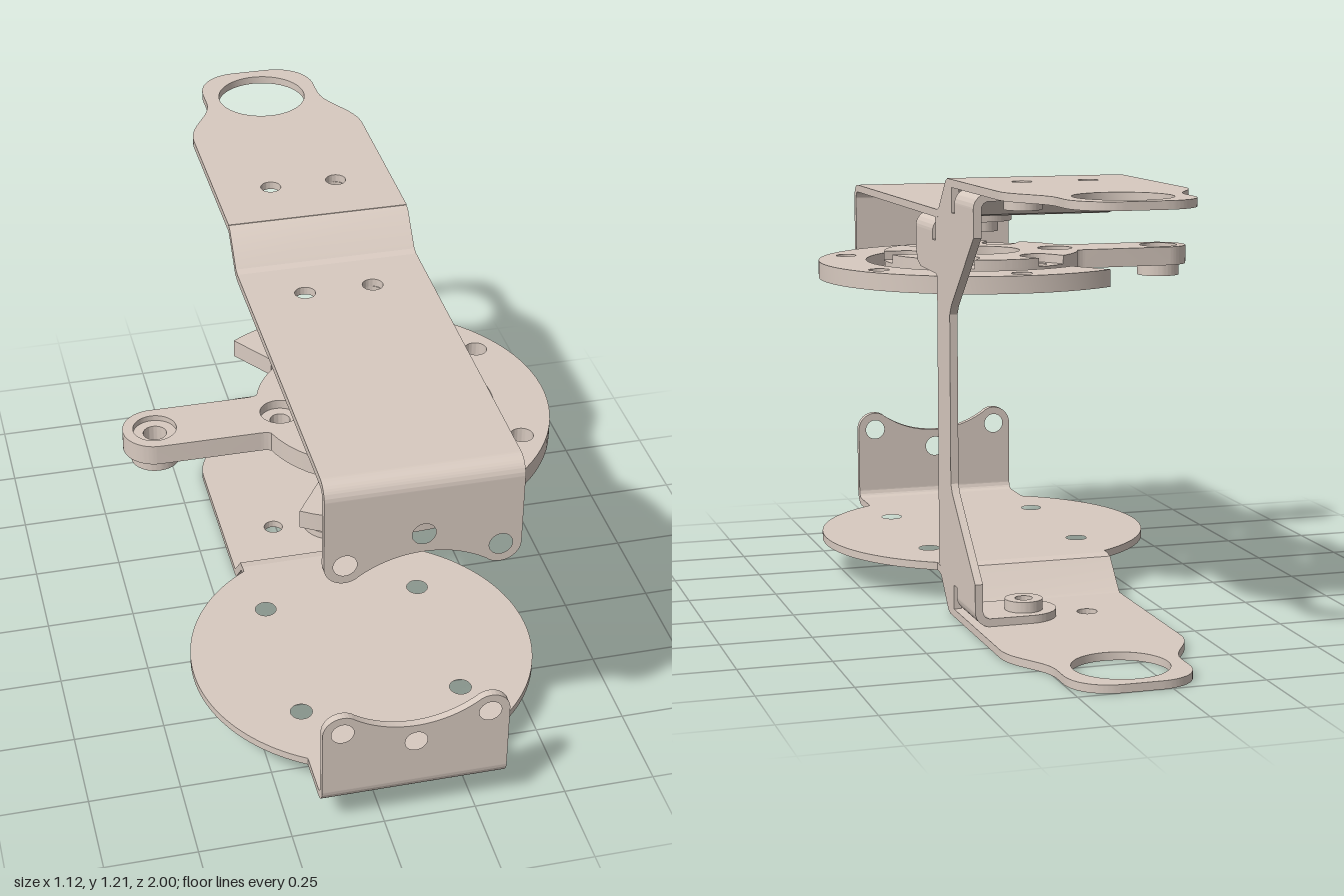
import * as THREE from 'three';
import { toCreasedNormals } from 'three/addons/utils/BufferGeometryUtils.js';

const T = 0.022;           // sheet thickness
const CX = 0.08, CZ = 0.43; // bracket centre line and turntable centre
const MID = 0.605;         // half height of the bracket
const PI = Math.PI;
const material = new THREE.MeshStandardMaterial({ color: 0xd8cac0 });

function poly(points) {
  return new THREE.Shape(points.map(([a, b]) => new THREE.Vector2(a, b)));
}
function disc(x, y, r) {
  return new THREE.Shape().absarc(x, y, r, 0, PI * 2, false);
}
function drill(shape, holes) {
  for (const [x, y, r] of holes) shape.holes.push(new THREE.Path().absarc(x, y, r, 0, PI * 2, true));
  return shape;
}
function extrude(shape, depth) {
  return new THREE.ExtrudeGeometry(shape, { depth, bevelEnabled: false, curveSegments: 32 });
}
function add(group, name, geometry) {
  const mesh = new THREE.Mesh(toCreasedNormals(geometry, 0.5), material);
  mesh.name = name;
  group.add(mesh);
  return mesh;
}
// horizontal plate: shape drawn in (x, z), filling y0..y1
function plate(group, name, shape, y0, y1) {
  return add(group, name, extrude(shape, y1 - y0).rotateX(PI / 2).translate(0, y1, 0));
}
// upright profile: shape drawn in (z, y), filling x0..x1
function profile(group, name, shape, x0, x1) {
  return add(group, name, extrude(shape, x1 - x0).rotateY(-PI / 2).translate(x1, 0, 0));
}
// quarter bend of sheet metal around (a, b)
function bend(a, b, r, start, end) {
  const s = new THREE.Shape();
  s.absarc(a, b, r, start, end, false);
  s.absarc(a, b, r - T, end, start, true);
  return s;
}

// Strap: front plate, step, rear plate with eye and scalloped front flange.
// Drawn as the upper strap, with y measured from the bracket's mid height.
function makeStrap(name, frontShape) {
  const g = new THREE.Group();
  g.name = name;
  const yF = 1.117 - MID, yR = MID;
  plate(g, 'frontPlate', frontShape, yF - T, yF);

  profile(g, 'stepBend', poly([
    [0, yF], [-0.02, yF + 0.005], [-0.095, yR - 0.007], [-0.115, yR],
    [-0.115, yR - T], [-0.106, yR - T - 0.006], [-0.03, yF - T + 0.006], [0, yF - T]]), -0.25, 0.25);

  const rear = new THREE.Shape();
  rear.moveTo(-0.25, -0.11);
  rear.lineTo(-0.25, -0.6);
  rear.bezierCurveTo(-0.25, -0.7, -0.168, -0.74, -0.168, -0.83);
  rear.lineTo(-0.168, -0.88);
  rear.bezierCurveTo(-0.168, -0.95, -0.12, -1, -0.05, -1);
  rear.lineTo(0.05, -1);
  rear.bezierCurveTo(0.12, -1, 0.168, -0.95, 0.168, -0.88);
  rear.lineTo(0.168, -0.83);
  rear.bezierCurveTo(0.168, -0.74, 0.25, -0.7, 0.25, -0.6);
  rear.lineTo(0.25, -0.11);
  drill(rear, [[0, -0.835, 0.127], [-0.093, -0.29, 0.028], [0.093, -0.29, 0.028]]);
  plate(g, 'rearPlate', rear, yR - T, yR);

  // flange with two ears joined by a tangent concave arc
  const R = 0.045, ear = 0.878 - MID, a = 0.955;
  profile(g, 'frontBend', bend(a, yF - R, R, 0, PI / 2), -0.25, 0.25);
  const f = new THREE.Shape();
  f.moveTo(-0.25, yF - R);
  f.lineTo(0.25, yF - R);
  f.absarc(0.197, ear, 0.053, 0, -PI + a, true);
  f.absarc(0, ear - 0.28, 0.29, a, PI - a, false);
  f.absarc(-0.197, ear, 0.053, -a, -PI, true);
  drill(f, [[-0.197, ear, 0.03], [0.197, ear, 0.03], [0, ear + 0.064, 0.03]]);
  add(g, 'frontFlange', extrude(f, T).translate(0, 0, 1 - T));
  g.position.set(CX, MID, 0);
  return g;
}

// Side wall with folded tabs and press nuts
function makeWall() {
  const g = new THREE.Group();
  g.name = 'sideWall';
  const x1 = 0.33, H = MID * 2, R = 0.043;
  const rearHalf = [[-0.13, 0.84], [-0.145, 0.865], [-0.37, 1.07], [-0.37, H - T - R], [-0.185, H - T - R],
    [-0.185, 1.12], [-0.155, 1.12], [-0.155, H - T], [-0.105, H - T], [-0.012, 1.096]];
  const frontTop = [[0.015, 1.095], [0.015, 1.03], [0.045, 1.03], [0.045, 1.052], [0.23, 1.052],
    [0.23, 0.99], [0.215, 0.957], [0.18, 0.942], [0.01, 0.938], [0, 0.93]];
  const lower = rearHalf.map(([z, y]) => [z, H - y]).reverse();
  profile(g, 'wall', poly([...rearHalf, ...frontTop, [0, 0.114], ...lower]), x1 - T, x1);

  const tabs = [[-0.37, -0.185, H - T, 1, -0.29], [-0.37, -0.185, T, -1, -0.29], [0.045, 0.23, 1.095, 1, 0.13]];
  for (const [z0, z1, y, s, nutZ] of tabs) {
    // s = 1: tab under a plate, s = -1: tab on top of a plate
    const elbow = s > 0 ? bend(x1 - R, y - R, R, 0, PI / 2) : bend(x1 - R, y + R, R, -PI / 2, 0);
    add(g, 'tabBend', extrude(elbow, z1 - z0).translate(0, 0, z0));
    const tab = new THREE.Shape();
    tab.moveTo(x1 - R, z0);
    tab.lineTo(x1 - R, z1);
    tab.absarc(0.17, (z0 + z1) / 2, (z1 - z0) / 2, PI / 2, PI * 1.5, false);
    drill(tab, [[0.17, nutZ, 0.028]]);
    plate(g, 'tab', tab, Math.min(y, y - s * T), Math.max(y, y - s * T));
    const nut = y - s * T;
    plate(g, 'pressNut', drill(disc(0.17, nutZ, 0.052), [[0.17, nutZ, 0.024]]),
      Math.min(nut, nut - s * 0.03), Math.max(nut, nut - s * 0.03));
  }
  return g;
}

// Open ring with a notched hub and a side arm inside it
function makeTurntable() {
  const g = new THREE.Group();
  g.name = 'turntable';
  const end = PI * 0.69;
  const ring = new THREE.Shape();
  ring.absarc(0, 0, 0.48, -end, end, false);
  ring.absarc(0, 0, 0.34, end, -end, true);
  const polar = (r, t, hole) => [r * Math.cos(t), r * Math.sin(t), hole];
  drill(ring, [-PI / 2, -PI / 6, PI / 6, PI / 2].map(t => polar(0.417, t, 0.03)));
  plate(g, 'openRing', ring, 0.88, 0.93);

  const spots = [-2, -1, 0, 1, 2].map(i => i * PI / 3);
  const base = drill(disc(0, 0, 0.287), [[0, 0, 0.115], ...[...spots, PI].map(t => polar(0.23, t, 0.026))]);
  plate(g, 'hubBase', base, 0.9, 0.93);

  // raised layer, cut open around each screw
  const top = new THREE.Shape();
  const w = 0.052, d = Math.asin(w / 0.287);
  let from = -PI;
  for (const t of spots) {
    top.absarc(0, 0, 0.287, from, t - d, false);
    const [x, y] = polar(0.23, t);
    top.absarc(x, y, w, t - PI / 2, t - PI * 1.5, true);
    from = t + d;
  }
  top.absarc(0, 0, 0.287, from, PI, false);
  drill(top, [[0, 0, 0.115], polar(0.23, PI, w)]);
  plate(g, 'hubTop', top, 0.93, 0.955);

  // arm flares into the hub rim
  const arm = new THREE.Shape();
  arm.moveTo(-0.2, 0.19);
  arm.quadraticCurveTo(-0.24, 0.083, -0.3, 0.083);
  arm.absarc(-0.56, 0, 0.083, PI / 2, PI * 1.5, false);
  arm.lineTo(-0.3, -0.083);
  arm.quadraticCurveTo(-0.24, -0.083, -0.2, -0.19);
  arm.absarc(0, 0, 0.284, PI + 0.7, PI - 0.7, true);
  drill(arm, [[-0.56, 0, 0.056]]);
  plate(g, 'arm', arm, 0.9, 0.955);
  plate(g, 'armBushing', drill(disc(-0.56, 0, 0.063), [[-0.56, 0, 0.03]]), 0.865, 0.94);
  g.position.set(CX, 0, CZ);
  return g;
}

export function createModel() {
  const model = new THREE.Group();
  model.name = 'bracketAssembly';

  const plain = poly([[-0.25, 0], [0.25, 0], [0.25, 0.955], [-0.25, 0.955]]);
  model.add(makeStrap('upperStrap', drill(plain, [[-0.093, 0.13, 0.028], [0.093, 0.13, 0.028]])));

  // lower strap widens into a round base
  const a = Math.acos(0.25 / 0.48);
  const round = new THREE.Shape();
  round.moveTo(0.25, 0);
  round.lineTo(-0.25, 0);
  round.absarc(0, CZ, 0.48, PI + a, PI - a, true);
  round.lineTo(-0.25, 0.955);
  round.lineTo(0.25, 0.955);
  round.absarc(0, CZ, 0.48, a, -a, true);
  for (const x of [-0.225, 0.225]) drill(round, [[x, CZ - 0.225, 0.03], [x, CZ + 0.225, 0.03]]);
  const lower = makeStrap('lowerStrap', round);
  lower.rotation.z = PI;
  model.add(lower);

  model.add(makeWall(), makeTurntable());
  return model;
}
